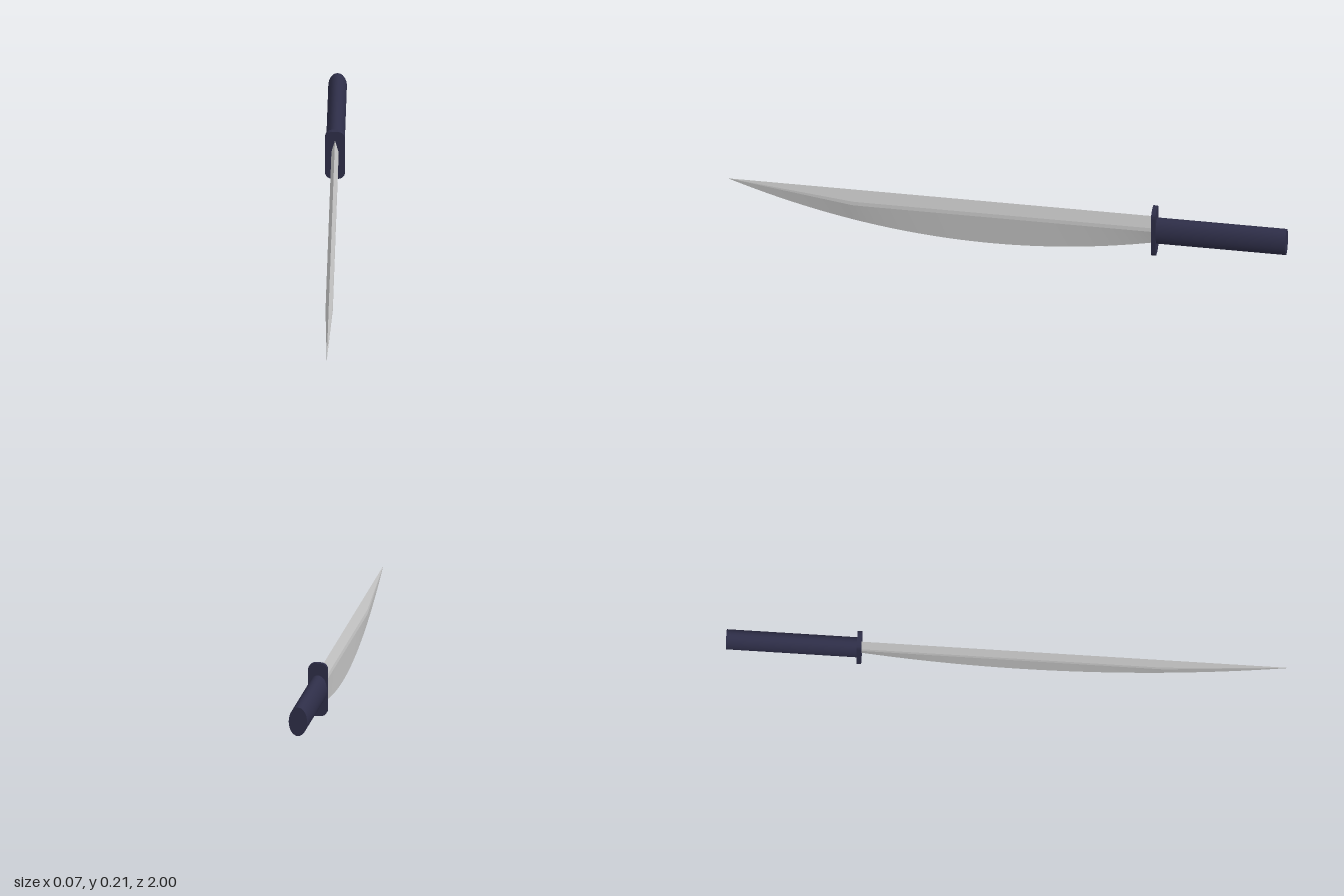
import * as THREE from 'three';
import { toCreasedNormals } from 'three/addons/utils/BufferGeometryUtils.js';

const SPINE = 0.18, BACK = -0.53, TIP = 1;

// Curved cutting edge, rising to the spine at the tip
const edgeY = z => SPINE * ((z - 0.05) / 0.95) ** 2;

// Blade: slim diamond cross-sections lofted from guard to tip
function bladeGeometry() {
  const pos = [], idx = [], steps = 48, sides = 6;
  for (let i = 0; i <= steps; i++) {
    const z = BACK + (TIP - BACK) * i / steps;
    const taper = Math.min(1, (TIP - z) / 0.45);
    const w = 0.013 * taper;
    const hi = SPINE - 0.045 * taper, lo = SPINE - 0.06 * taper;
    const ring = [[0, SPINE], [-w * 0.93, hi], [-w, lo], [0, edgeY(z)], [w, lo], [w * 0.93, hi]];
    for (const [x, y] of ring) pos.push(x, y, z);
  }
  for (let i = 0; i < steps; i++) {
    for (let j = 0; j < sides; j++) {
      const a = i * sides + j, b = i * sides + (j + 1) % sides;
      idx.push(a, b, b + sides);
      if (i < steps - 1) idx.push(a, b + sides, a + sides);
    }
  }
  // Closed end, hidden in the guard
  for (let j = 1; j < sides - 1; j++) idx.push(0, j + 1, j);
  const g = new THREE.BufferGeometry();
  g.setAttribute('position', new THREE.Float32BufferAttribute(pos, 3));
  g.setIndex(idx);
  return toCreasedNormals(g, 0.12);
}

// Guard: upright plate with rounded corners
function guardGeometry() {
  const w = 0.035, y0 = 0.022, y1 = 0.215, r = 0.025;
  const s = new THREE.Shape();
  s.absarc(w - r, y1 - r, r, 0, Math.PI / 2);
  s.absarc(-w + r, y1 - r, r, Math.PI / 2, Math.PI);
  s.absarc(-w + r, y0 + r, r, Math.PI, Math.PI * 1.5);
  s.absarc(w - r, y0 + r, r, Math.PI * 1.5, Math.PI * 2);
  const g = new THREE.ExtrudeGeometry(s, { depth: 0.016, bevelEnabled: false, curveSegments: 8 });
  g.translate(0, 0, -0.536);
  return toCreasedNormals(g, 0.6);
}

// Handle: oval grip
function handleGeometry() {
  const g = new THREE.CylinderGeometry(1, 1, 0.47, 32);
  g.rotateX(Math.PI / 2);
  g.scale(0.033, 0.052, 1);
  g.translate(0, 0.119, -0.765);
  return g;
}

export function createModel() {
  const group = new THREE.Group();
  const steel = new THREE.MeshStandardMaterial({ color: 0xcccccc });
  const dark = new THREE.MeshStandardMaterial({ color: 0x2e2e48 });
  const add = (name, geometry, material) => {
    const mesh = new THREE.Mesh(geometry, material);
    mesh.name = name;
    group.add(mesh);
  };
  add('blade', bladeGeometry(), steel);
  add('guard', guardGeometry(), dark);
  add('handle', handleGeometry(), dark);
  return group;
}
